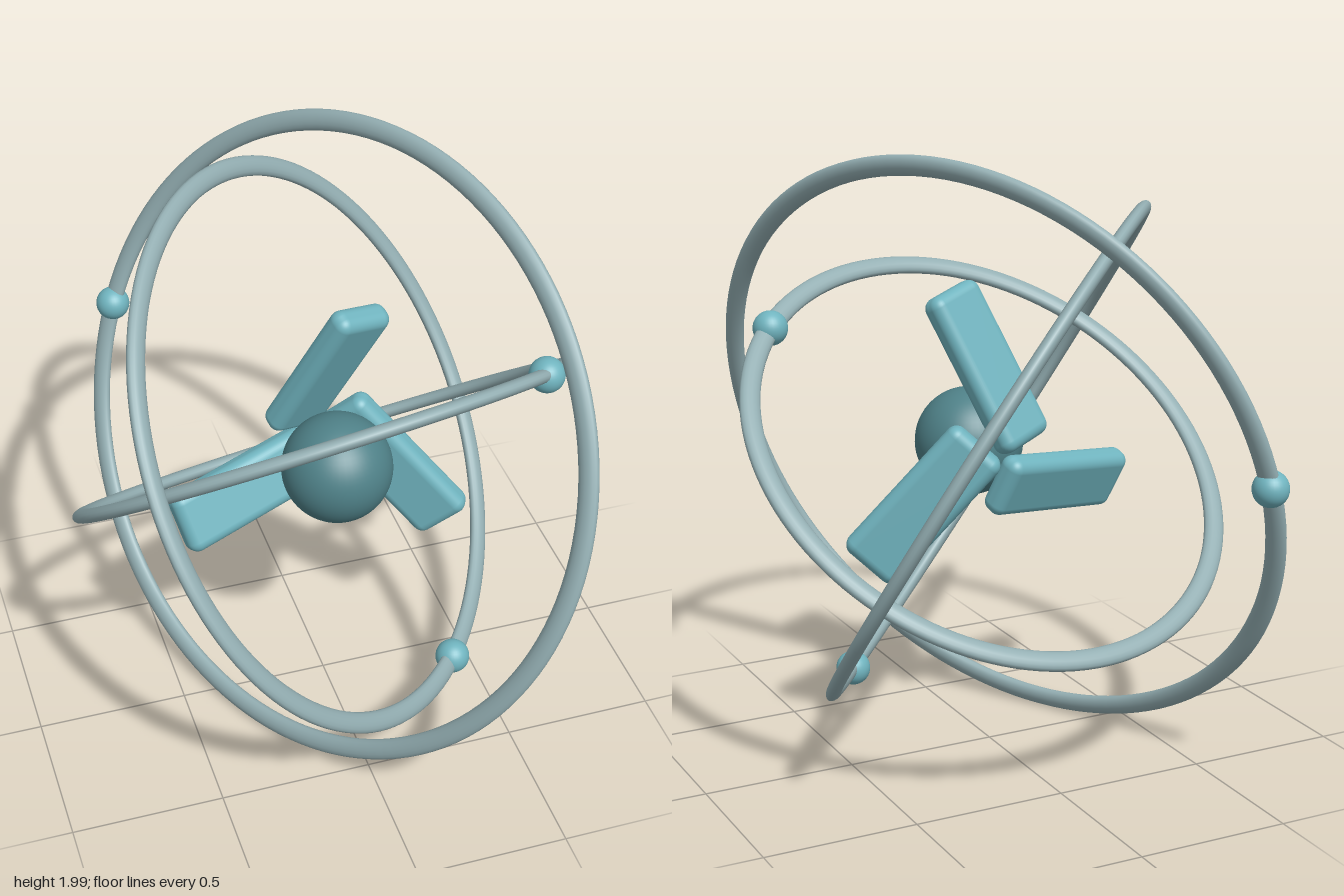
import * as THREE from 'three';
import { RoundedBoxGeometry } from 'three/addons/geometries/RoundedBoxGeometry.js';

const vec = (a) => new THREE.Vector3(...a);

export function createModel() {
  const ringMat = new THREE.MeshStandardMaterial({ color: 0x94afb3 });
  ringMat.name = 'paleGreyTeal';
  const bladeMat = new THREE.MeshStandardMaterial({ color: 0x70b4bf });
  bladeMat.name = 'brightTeal';
  const coreMat = new THREE.MeshStandardMaterial({ color: 0x4f8188 });
  coreMat.name = 'darkTeal';

  const model = new THREE.Group();
  model.name = 'orbitalRotor';
  const hub = new THREE.Group();
  hub.name = 'hub';
  hub.position.y = 1;
  model.add(hub);

  const addMesh = (parent, name, geometry, material) => {
    const mesh = new THREE.Mesh(geometry, material);
    mesh.name = name;
    parent.add(mesh);
    return mesh;
  };

  // Three tilted orbit rings with flattened tubes, each carrying a bead
  const rings = [
    { name: 'outer', radius: 1.02, normal: [0.824, -0.333, -0.458], bead: [-0.49, 0.055, -0.88] },
    { name: 'middle', radius: 0.914, normal: [0.675, 0.513, 0.531], bead: [0.375, -0.775, 0.305] },
    { name: 'inner', radius: 0.806, normal: [-0.118, 0.779, -0.616], bead: [0.605, 0.39, 0.39] },
  ];
  for (const { name, radius, normal, bead } of rings) {
    const n = vec(normal).normalize();
    const ring = addMesh(hub, name + 'Ring', new THREE.TorusGeometry(radius, 0.034, 16, 128), ringMat);
    ring.quaternion.setFromUnitVectors(new THREE.Vector3(0, 0, 1), n);
    ring.scale.z = 0.66;
    const ball = addMesh(hub, name + 'Bead', new THREE.SphereGeometry(0.057, 32, 20), bladeMat);
    ball.position.copy(vec(bead).projectOnPlane(n).setLength(radius));
  }

  // Central sphere, set forward of the blades
  addMesh(hub, 'coreSphere', new THREE.SphereGeometry(0.178, 48, 32), coreMat).position.z = 0.148;

  // Three rounded blades, leaning forward and twisted about their length
  const lean = 0.311, twist = 0.38;
  const bladeGeo = new RoundedBoxGeometry(0.21, 0.55, 0.088, 5, 0.036);
  for (let i = 0; i < 3; i++) {
    const arm = new THREE.Group();
    arm.name = 'bladeArm' + (i + 1);
    arm.rotation.z = (i * Math.PI * 2) / 3;
    hub.add(arm);
    const blade = addMesh(arm, 'blade' + (i + 1), bladeGeo, bladeMat);
    blade.position.set(0.01, 0.28, 0);
    blade.rotation.set(lean, twist, -0.375, 'ZXY');
  }
  return model;
}
